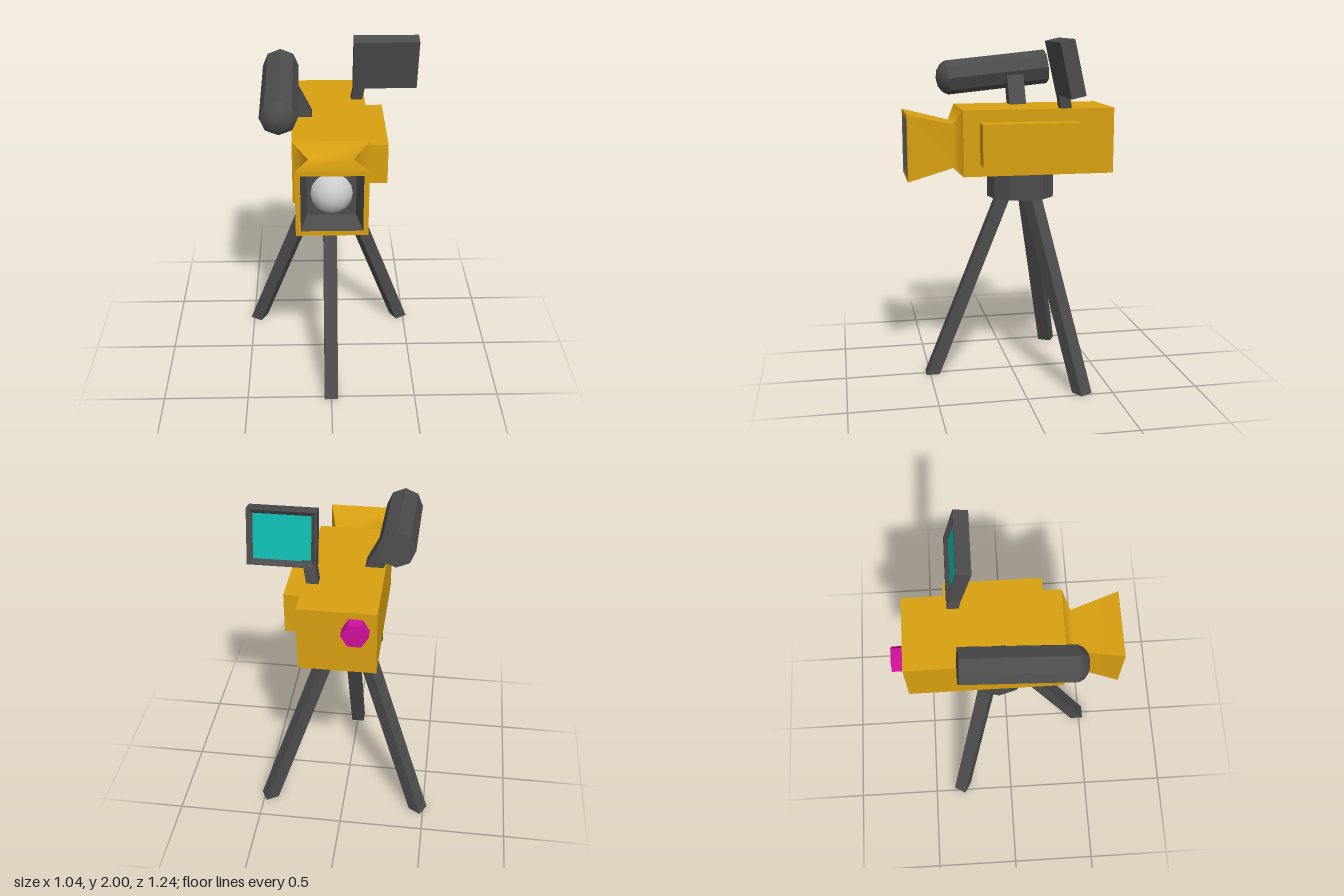
import * as THREE from 'three';

const paint = (color, flat = true) =>
  new THREE.MeshStandardMaterial({ color, flatShading: flat });
const gold = paint(0xd9a010), goldSmooth = paint(0xd9a010, false);
const dark = paint(0x4c4c4c), darkSmooth = paint(0x4c4c4c, false);
const teal = paint(0x0fb8ae), magenta = paint(0xd0109a), glass = paint(0xcccccc, false);

function add(parent, name, geometry, material, x = 0, y = 0, z = 0) {
  const mesh = new THREE.Mesh(geometry, material);
  mesh.name = name;
  mesh.position.set(x, y, z);
  parent.add(mesh);
  return mesh;
}

// Box given by its limits on each axis
function block(parent, name, material, [x0, x1], [y0, y1], [z0, z1]) {
  return add(parent, name, new THREE.BoxGeometry(x1 - x0, y1 - y0, z1 - z0), material,
    (x0 + x1) / 2, (y0 + y1) / 2, (z0 + z1) / 2);
}

// Leaning post from point a up to point b, cut level at both ends
function post(parent, name, a, b, w, d) {
  const geo = new THREE.BoxGeometry(w, 1, d);
  const p = geo.attributes.position;
  for (let i = 0; i < p.count; i++) {
    const t = p.getY(i) + 0.5;
    p.setXYZ(i, p.getX(i) + a[0] + (b[0] - a[0]) * t,
      a[1] + (b[1] - a[1]) * t, p.getZ(i) + a[2] + (b[2] - a[2]) * t);
  }
  geo.computeVertexNormals();
  return add(parent, name, geo, dark);
}

// Four-sided loft through rectangles [halfWidth, bottom, top, z]; each side is its own strip
function loft(rings) {
  const pos = [], index = [];
  for (let k = 0; k < 4; k++) {
    const start = pos.length / 3;
    rings.forEach(([w, y0, y1, z], r) => {
      const c = [[-w, y0], [w, y0], [w, y1], [-w, y1]];
      pos.push(...c[k], z, ...c[(k + 1) % 4], z);
      if (r) {
        const n = start + r * 2;
        index.push(n - 2, n - 1, n + 1, n - 2, n + 1, n);
      }
    });
  }
  const geo = new THREE.BufferGeometry();
  geo.setAttribute('position', new THREE.Float32BufferAttribute(pos, 3));
  geo.setIndex(index);
  geo.computeVertexNormals();
  return geo;
}

export function createModel() {
  const model = new THREE.Group();
  model.name = 'videoCamera';

  // Camera body
  block(model, 'body', gold, [-0.21, 0.21], [1.23, 1.605], [-0.56, 0.31]);
  block(model, 'sidePanel', gold, [0.2, 0.318], [1.3, 1.535], [-0.335, 0.215]);

  // Flared lens hood with a dark recess and round lens
  add(model, 'lensHood', loft([
    [0.21, 1.23, 1.605, 0.31], [0.122, 1.27, 1.52, 0.357], [0.19, 1.207, 1.583, 0.62],
  ]), goldSmooth);
  add(model, 'hoodRim', loft([[0.19, 1.207, 1.583, 0.62], [0.163, 1.234, 1.556, 0.62]]), gold);
  add(model, 'hoodRecess', loft([
    [0.163, 1.234, 1.556, 0.62], [0.13, 1.265, 1.525, 0.5], [0, 1.395, 1.395, 0.5],
  ]), dark);
  add(model, 'lens', new THREE.SphereGeometry(0.12, 12, 8), glass, 0, 1.395, 0.47);

  // Eyepiece knob at the back
  const knob = new THREE.CylinderGeometry(0.073, 0.073, 0.085, 6, 1, false, Math.PI / 2);
  add(model, 'eyepiece', knob.rotateX(Math.PI / 2), magenta, -0.1, 1.505, -0.582);

  // Tripod head and three splayed legs
  const tripod = new THREE.Group();
  tripod.name = 'tripod';
  tripod.position.z = -0.055;
  model.add(tripod);
  add(tripod, 'tripodHead', new THREE.CylinderGeometry(0.2, 0.2, 0.15, 12), dark, 0, 1.155, 0);
  for (let i = 0; i < 3; i++) {
    post(tripod, 'tripodLeg', [0, 0, 0.54], [0, 1.1, 0.097], 0.08, 0.08)
      .rotation.y = i * Math.PI * 2 / 3;
  }

  // Microphone: octagonal barrel with a rounded front, tipped nose down
  const mic = new THREE.Group();
  mic.name = 'microphone';
  mic.position.set(-0.275, 1.786, 0.04);
  mic.rotation.x = 0.1;
  model.add(mic);
  add(mic, 'micBarrel', new THREE.CylinderGeometry(0.102, 0.102, 0.61, 8).rotateX(Math.PI / 2), dark);
  const dome = [[0.102, 0], [0.085, 0.03], [0.05, 0.055], [0, 0.064]]
    .map(([r, y]) => new THREE.Vector2(r, y));
  add(mic, 'micTip', new THREE.LatheGeometry(dome, 8).rotateX(Math.PI / 2), darkSmooth, 0, 0, 0.305);
  post(model, 'micMount', [-0.14, 1.59, -0.06], [-0.235, 1.78, -0.06], 0.1, 0.1);

  // Monitor with bevelled recess, leaning forward on a short arm
  const monitor = new THREE.Group();
  monitor.name = 'monitor';
  monitor.position.set(0.325, 1.84, -0.24);
  monitor.rotation.set(0.22, Math.PI, 0);
  model.add(monitor);
  const rect = (w, h, z) => [w, -h, h, z];
  add(monitor, 'monitorCase', loft([
    rect(0, 0, -0.041), rect(0.185, 0.153, -0.041), rect(0.185, 0.153, 0.041),
    rect(0.178, 0.146, 0.041), rect(0.155, 0.123, 0.02),
  ]), dark);
  add(monitor, 'monitorScreen', new THREE.PlaneGeometry(0.31, 0.246), teal, 0, 0, 0.02);
  post(model, 'monitorArm', [0.16, 1.59, -0.285], [0.185, 1.73, -0.257], 0.065, 0.065);

  return model;
}
